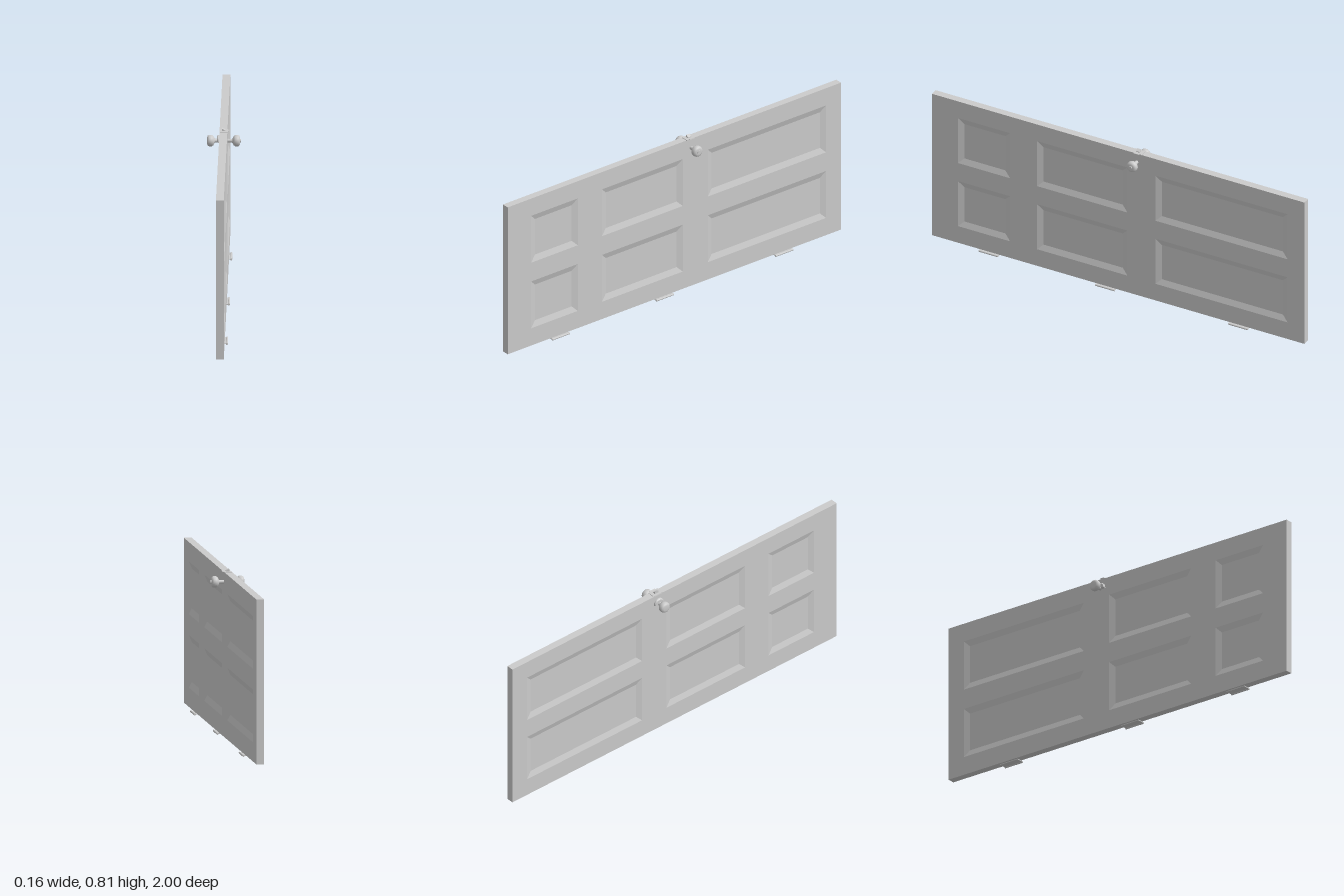
import * as THREE from 'three';

const X0 = -0.022, X1 = 0.015, Y0 = 0.008, Y1 = 0.792;
const DEPTH = 0.009, BEVEL = 0.03, KNOB_Y = 0.745, KNOB_Z = -0.1;

export function createModel() {
  const model = new THREE.Group();
  const mat = new THREE.MeshStandardMaterial({ color: 0xcccccc });
  const flat = new THREE.MeshStandardMaterial({ color: 0xcccccc, flatShading: true });

  const add = (name, geometry, x = 0, y = 0, z = 0, material = mat) => {
    const mesh = new THREE.Mesh(geometry, material);
    mesh.name = name;
    mesh.position.set(x, y, z);
    model.add(mesh);
    return mesh;
  };

  const rect = (path, z0, z1, y0, y1) => {
    // shape x runs along -z once the slab is turned to face +x
    path.moveTo(-z1, y0);
    path.lineTo(-z0, y0);
    path.lineTo(-z0, y1);
    path.lineTo(-z1, y1);
    path.closePath();
    return path;
  };

  // Door slab lying on its long edge, with six panel openings
  const columns = [[0.58, 0.86], [-0.05, 0.435], [-0.91, -0.2]];
  const rows = [[0.1, 0.35], [0.45, 0.7]];
  const slab = rect(new THREE.Shape(), -1, 1, Y0, Y1);
  for (const [z0, z1] of columns)
    for (const [y0, y1] of rows) slab.holes.push(rect(new THREE.Path(), z0, z1, y0, y1));
  const slabGeo = new THREE.ExtrudeGeometry(slab, { depth: X1 - X0, bevelEnabled: false });
  slabGeo.rotateY(Math.PI / 2);
  add('doorSlab', slabGeo, X0);

  // Sunken panel: bevelled rim stepping down to a flat field, facing +z
  const panelGeometry = (w, h) => {
    const ring = (inset, z) => [[-1, -1], [1, -1], [1, 1], [-1, 1]]
      .map(([sx, sy]) => [sx * (w / 2 - inset), sy * (h / 2 - inset), z]);
    const outer = ring(0, 0), inner = ring(BEVEL, -DEPTH);
    const pos = [];
    const quad = (a, b, c, d) => pos.push(...a, ...b, ...c, ...a, ...c, ...d);
    for (let i = 0; i < 4; i++) {
      const j = (i + 1) % 4;
      quad(outer[i], outer[j], inner[j], inner[i]);
    }
    quad(...inner);
    const geo = new THREE.BufferGeometry();
    geo.setAttribute('position', new THREE.Float32BufferAttribute(pos, 3));
    geo.computeVertexNormals();
    return geo;
  };
  for (const [z0, z1] of columns)
    for (const [y0, y1] of rows)
      for (const side of [1, -1]) {
        const panel = add('panel', panelGeometry(z1 - z0, y1 - y0),
          side > 0 ? X1 : X0, (y0 + y1) / 2, (z0 + z1) / 2, flat);
        panel.rotation.y = side * Math.PI / 2;
      }

  // Round knobs on both faces
  const profile = [[0.009, 0], [0.009, 0.037], [0.013, 0.04], [0.022, 0.045], [0.027, 0.053],
    [0.027, 0.065], [0.023, 0.072], [0.015, 0.075], [0, 0.075]]
    .map(([r, d]) => new THREE.Vector2(r, d));
  for (const side of [1, -1]) {
    const knob = add(side > 0 ? 'leftKnob' : 'rightKnob', new THREE.LatheGeometry(profile, 20),
      side > 0 ? 0 : -0.006, KNOB_Y, KNOB_Z);
    knob.rotation.z = -side * Math.PI / 2;
  }
  const button = add('knobButton', new THREE.CylinderGeometry(0.009, 0.009, 0.006, 16), 0.076, KNOB_Y, KNOB_Z);
  button.rotation.z = Math.PI / 2;

  // Half-round rose behind the right knob
  const rose = new THREE.Shape();
  rose.absarc(0, 0, 0.023, 0, Math.PI, false);
  rose.closePath();
  const roseGeo = new THREE.ExtrudeGeometry(rose, {
    depth: 0.006, bevelThickness: 0.005, bevelSize: 0.004, bevelSegments: 1, curveSegments: 10,
  });
  roseGeo.rotateY(-Math.PI / 2);
  add('rose', roseGeo, X0, KNOB_Y, KNOB_Z, flat);

  // Latch plate with curled lip, and the slanted bolt
  add('latchPlate', new THREE.BoxGeometry(0.038, 0.003, 0.056), -0.001, Y1 + 0.001, KNOB_Z);
  const lip = add('latchLip', new THREE.BoxGeometry(0.008, 0.002, 0.03), 0.02, Y1 + 0.002, KNOB_Z);
  lip.rotation.z = 0.2;
  const bolt = new THREE.Shape([[-0.01, 0], [0.005, 0], [0.005, 0.006], [-0.01, 0.014]]
    .map(([x, y]) => new THREE.Vector2(x, y)));
  add('latchBolt', new THREE.ExtrudeGeometry(bolt, { depth: 0.02, bevelEnabled: false }),
    0, Y1, KNOB_Z - 0.01);

  // Three hinges along the bottom edge
  for (const z of [0.69, 0.065, -0.65]) {
    add('hingeLeaf', new THREE.BoxGeometry(0.037, 0.004, 0.104), 0.006, 0.006, z);
    const barrel = add('hingeBarrel', new THREE.CylinderGeometry(0.005, 0.005, 0.104, 12), 0.025, 0.005, z);
    barrel.rotation.x = Math.PI / 2;
  }

  return model;
}
